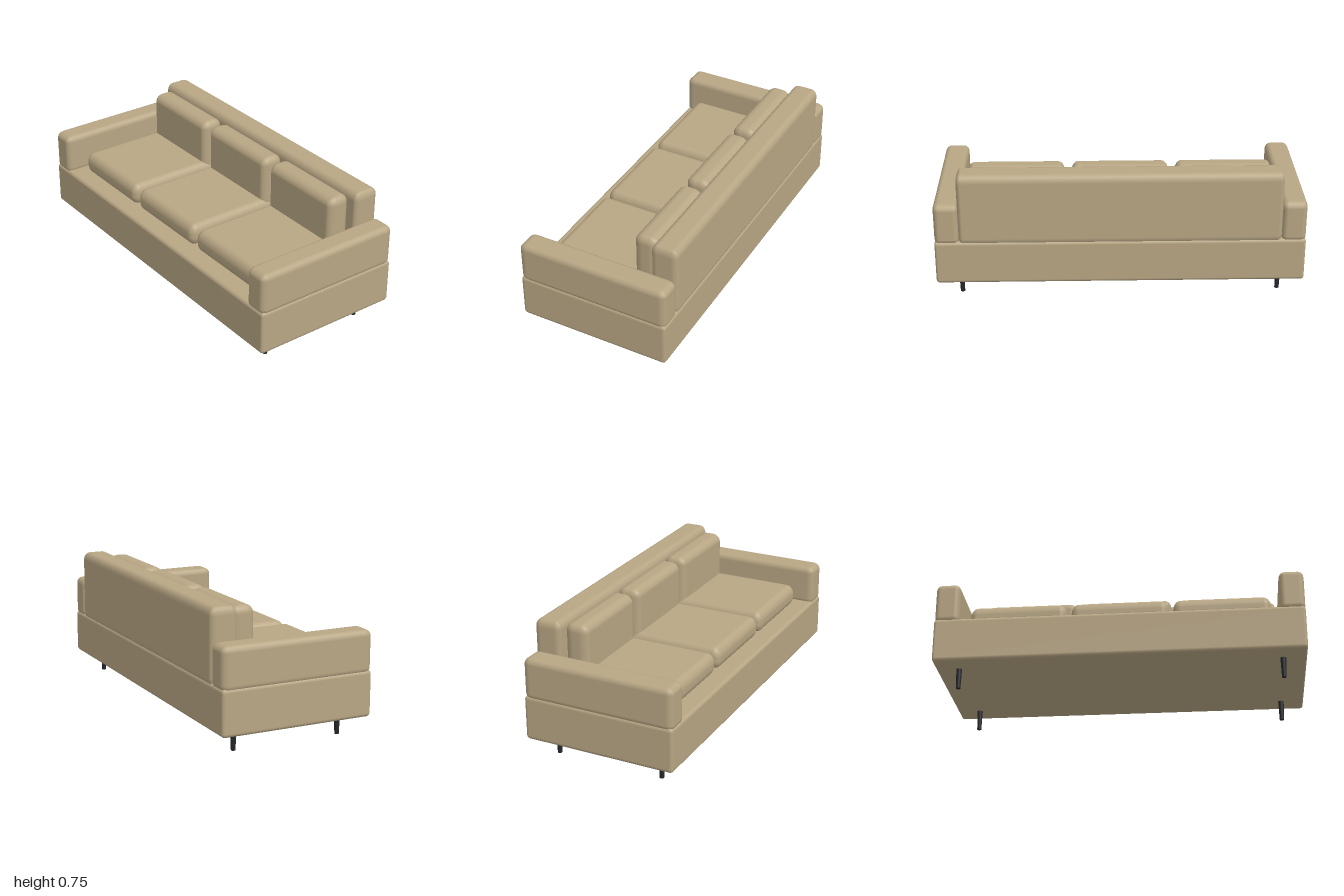
import * as THREE from 'three';

const fabric = new THREE.MeshStandardMaterial({ color: 0xb8a684 });
const dark = new THREE.MeshStandardMaterial({ color: 0x24272c });

// Box spanning lo..hi whose edges are rounded with a radius per axis and s steps;
// the six faces stay exactly flat.
function softBox(lo, hi, radius, s) {
  const n = 2 * s + 1;
  const geo = new THREE.BoxGeometry(1, 1, 1, n, n, n);
  const pos = geo.attributes.position;
  const nor = geo.attributes.normal;
  const dir = new THREE.Vector3();
  const normal = new THREE.Vector3();
  for (let i = 0; i < pos.count; i++) {
    const sign = [];
    for (let a = 0; a < 3; a++) {
      const k = Math.round((pos.getComponent(i, a) + 0.5) * n);
      sign[a] = k <= s ? -1 : 1;
      const t = k <= s ? (k - s) / s : (k - s - 1) / s;
      dir.setComponent(a, Math.tan(t * Math.PI / 4));
    }
    dir.normalize();
    for (let a = 0; a < 3; a++) {
      const d = dir.getComponent(a);
      const half = (hi[a] - lo[a]) / 2;
      pos.setComponent(i, a, (lo[a] + hi[a]) / 2 + sign[a] * (half - radius[a]) + d * radius[a]);
      normal.setComponent(a, d / radius[a]);
    }
    normal.normalize();
    nor.setXYZ(i, normal.x, normal.y, normal.z);
  }
  return geo;
}

export function createModel() {
  const sofa = new THREE.Group();
  sofa.name = 'sofa';

  function add(name, geometry, material = fabric) {
    const mesh = new THREE.Mesh(geometry, material);
    mesh.name = name;
    sofa.add(mesh);
    return mesh;
  }

  // Base and backrest
  add('base', softBox([-1, 0.112, -0.43], [1, 0.36, 0.43], [0.015, 0.02, 0.02], 2));
  add('backrest', softBox([-0.87, 0.335, -0.43], [0.87, 0.745, -0.28], [0.025, 0.045, 0.035], 2));

  // Armrests, sunk slightly into the base
  for (const side of [-1, 1]) {
    const x = side * 0.9325;
    add(side > 0 ? 'leftArm' : 'rightArm',
      softBox([x - 0.0675, 0.34, -0.43], [x + 0.0675, 0.575, 0.43], [0.03, 0.035, 0.04], 2));
  }

  // Three seat cushions, each with a back cushion behind
  for (const x of [-0.557, 0, 0.557]) {
    add('seatCushion',
      softBox([x - 0.266, 0.35, -0.28], [x + 0.266, 0.477, 0.337], [0.04, 0.055, 0.045], 5));
    add('backCushion',
      softBox([x - 0.259, 0.42, -0.285], [x + 0.259, 0.727, -0.152], [0.035, 0.045, 0.05], 5));
  }

  // Tapered legs
  for (const x of [-0.872, 0.872]) {
    for (const z of [-0.305, 0.305]) {
      add('leg', new THREE.CylinderGeometry(0.016, 0.012, 0.12, 16), dark).position.set(x, 0.06, z);
    }
  }

  return sofa;
}
